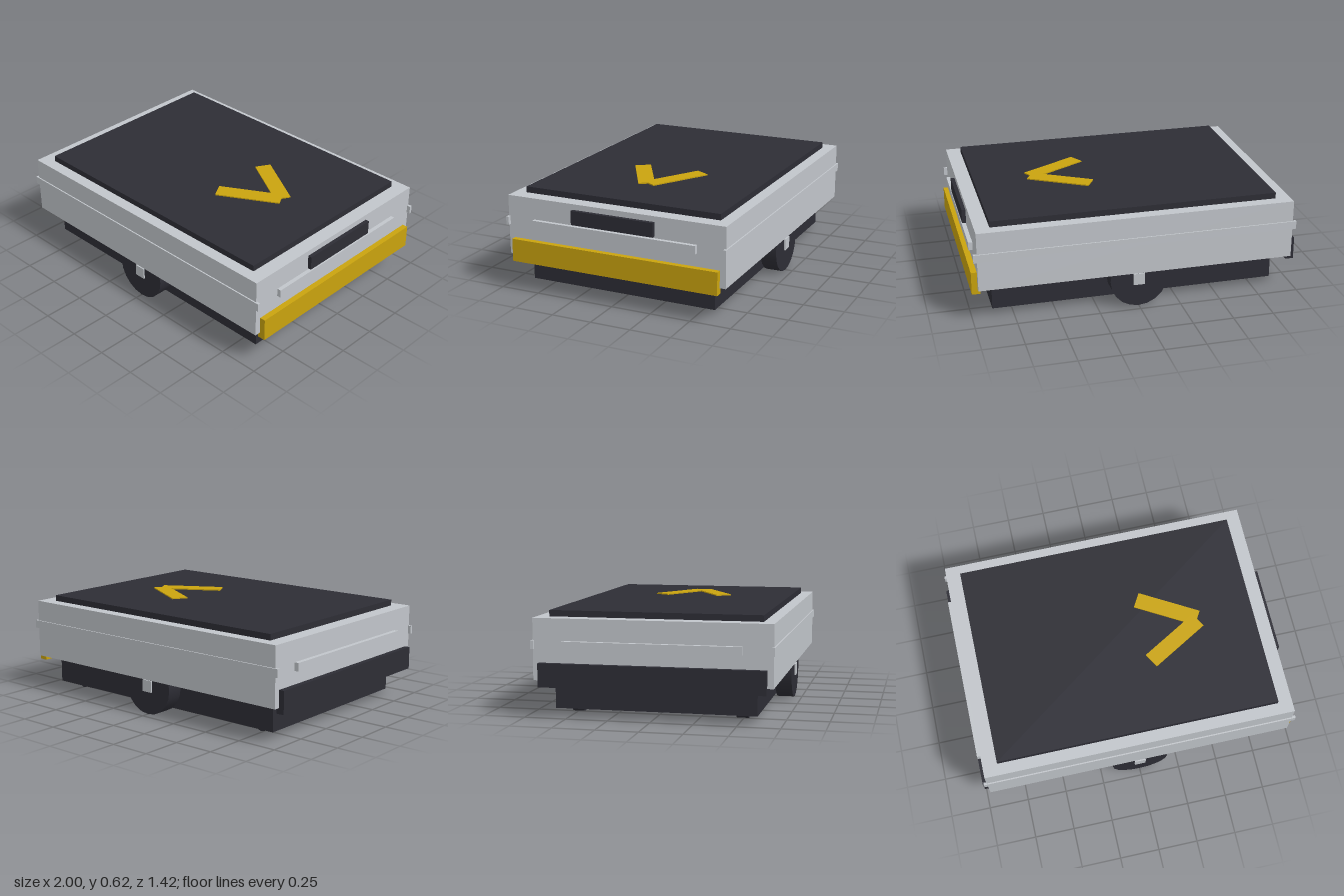
import * as THREE from 'three';

export function createModel() {
  const root = new THREE.Group();
  root.name = 'mobileRobotPlatform';

  const mat = (name, color) => {
    const m = new THREE.MeshStandardMaterial({ color });
    m.name = name;
    return m;
  };
  const shell = mat('lightGrey', 0xc1c5ca);
  const dark = mat('charcoal', 0x2d2d35);
  const yellow = mat('safetyYellow', 0xc9a30e);

  const add = (name, geometry, material, x, y, z) => {
    const mesh = new THREE.Mesh(geometry, material);
    mesh.name = name;
    mesh.position.set(x, y, z);
    root.add(mesh);
    return mesh;
  };

  // Box given by its lower and upper limits on each axis
  const box = (name, material, [x0, x1], [y0, y1], [z0, z1]) =>
    add(name, new THREE.BoxGeometry(x1 - x0, y1 - y0, z1 - z0), material,
      (x0 + x1) / 2, (y0 + y1) / 2, (z0 + z1) / 2);

  // Wheel lying along the z axis
  const roller = (name, radius, width, sides, x, z) => {
    const g = new THREE.CylinderGeometry(radius, radius, width, sides).rotateX(Math.PI / 2);
    return add(name, g, dark, x, radius, z);
  };

  // Main volumes
  box('chassisBase', dark, [-0.875, 0.875], [0.038, 0.23], [-0.6, 0.6]);
  box('bodyShell', shell, [-0.967, 0.965], [0.215, 0.58], [-0.704, 0.704]);
  box('topDeck', dark, [-0.875, 0.875], [0.58, 0.617], [-0.632, 0.632]);

  // Bumpers and front sensor window
  box('frontBumper', yellow, [0.95, 1], [0.18, 0.32], [-0.667, 0.667]);
  box('rearBumper', dark, [-1, -0.95], [0.18, 0.32], [-0.667, 0.667]);
  box('sensorWindow', dark, [0.96, 0.989], [0.46, 0.546], [-0.265, 0.265]);

  // Trim rails around the body
  box('frontRail', shell, [0.96, 0.99], [0.4, 0.45], [-0.527, 0.527]);
  box('rearRail', shell, [-0.995, -0.96], [0.4, 0.45], [-0.527, 0.527]);

  for (const s of [-1, 1]) {
    const side = s > 0 ? 'left' : 'right';
    const zRange = (a, b) => [Math.min(s * a, s * b), Math.max(s * a, s * b)];
    box(side + 'Rail', shell, [-0.987, 0.987], [0.4, 0.45], zRange(0.695, 0.712));

    // Drive wheel with its hub block
    roller(side + 'DriveWheel', 0.176, 0.103, 20, 0, s * 0.651);
    box(side + 'Hub', shell, [-0.035, 0.035], [0.142, 0.214], zRange(0.66, 0.711));

    // Casters
    for (const x of [-0.74, 0.74]) roller(side + 'Caster', 0.038, 0.07, 10, x, s * 0.495);

    // One bar of the direction arrow on the deck
    const bar = add(side + 'ArrowBar', new THREE.BoxGeometry(0.4, 0.008, 0.1), yellow,
      0.35, 0.62, s * 0.107);
    bar.rotation.y = s * Math.PI / 6;
  }

  return root;
}
